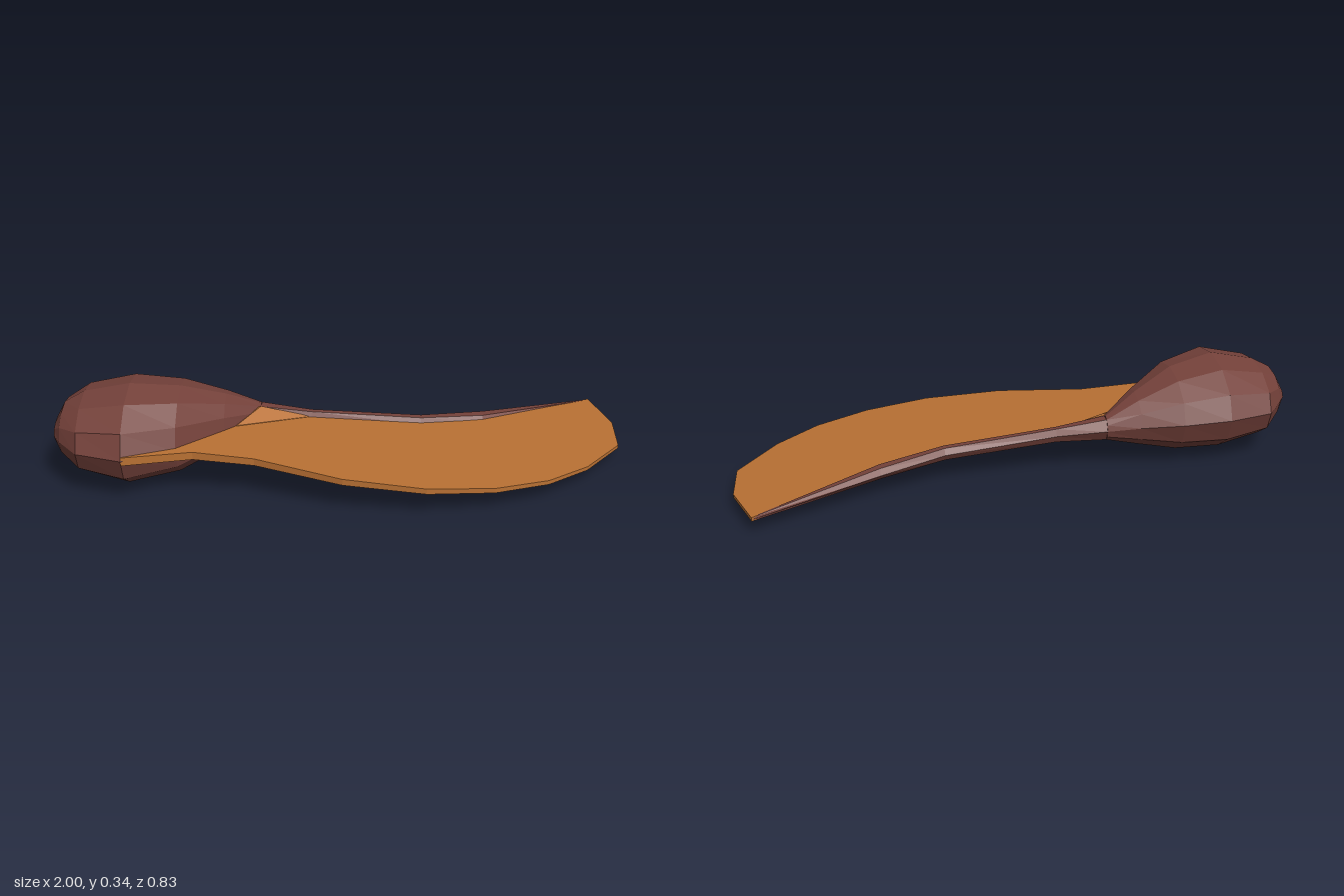
import * as THREE from 'three';
import { ConvexGeometry } from 'three/addons/geometries/ConvexGeometry.js';

const brown = new THREE.MeshStandardMaterial({ color: 0x74413a, flatShading: true });
const tan = new THREE.MeshStandardMaterial({ color: 0xb87033, flatShading: true });

// Loft of elliptical rings along x; each section is [x, zBack, zFront, yBottom, yTop].
function loft(sections, sides) {
  const pos = [], index = [];
  for (const [x, z0, z1, y0, y1] of sections) {
    for (let i = 0; i < sides; i++) {
      const a = (i / sides) * Math.PI * 2;
      pos.push(x, (y0 + y1) / 2 + ((y1 - y0) / 2) * Math.sin(a), (z0 + z1) / 2 + ((z1 - z0) / 2) * Math.cos(a));
    }
  }
  for (let s = 0; s < sections.length - 1; s++) {
    for (let i = 0; i < sides; i++) {
      const a = s * sides + i, b = s * sides + ((i + 1) % sides);
      index.push(a, a + sides, b, b, a + sides, b + sides);
    }
  }
  // End caps as fans
  const last = (sections.length - 1) * sides;
  for (let i = 1; i < sides - 1; i++) {
    index.push(0, i, i + 1, last, last + i + 1, last + i);
  }
  const g = new THREE.BufferGeometry();
  g.setAttribute('position', new THREE.Float32BufferAttribute(pos, 3));
  g.setIndex(index);
  const flat = g.toNonIndexed();
  flat.computeVertexNormals();
  return flat;
}

// Thin blade: outline in x/z, thickness tapering and sloping down along x.
const wingTop = x => 0.185 - (x + 0.74) * 0.0747;
const wingBottom = x => 0.155 - (x + 0.74) * 0.0645;
function wingGeometry() {
  const outline = [
    [-0.74, 0.35], [-0.51, 0.27], [-0.3, 0.285], [0, 0.385], [0.28, 0.41], [0.51, 0.37],
    [0.7, 0.285], [0.85, 0.16], [0.99, -0.03], [1, -0.22], [0.94, -0.42],
    [0.5, -0.18], [0.2, -0.1], [-0.12, -0.095], [-0.4, -0.08], [-0.62, 0.1],
  ];
  const shape = new THREE.Shape(outline.map(([x, z]) => new THREE.Vector2(x, -z)));
  const g = new THREE.ExtrudeGeometry(shape, { depth: 1, bevelEnabled: false });
  g.rotateX(-Math.PI / 2);
  const p = g.attributes.position;
  for (let i = 0; i < p.count; i++) {
    const x = p.getX(i);
    p.setY(i, THREE.MathUtils.lerp(wingBottom(x), wingTop(x), p.getY(i)));
  }
  g.computeVertexNormals();
  return g;
}

export function createModel() {
  const group = new THREE.Group();
  const add = (name, geometry, material) => {
    const mesh = new THREE.Mesh(geometry, material);
    mesh.name = name;
    group.add(mesh);
  };

  // Swollen seed pod narrowing into the neck
  add('seedPod', loft([
    [-1, 0, 0.17, 0.14, 0.215],
    [-0.97, -0.05, 0.225, 0.09, 0.27],
    [-0.9, -0.145, 0.305, 0.04, 0.308],
    [-0.74, -0.183, 0.352, 0.003, 0.34],
    [-0.57, -0.178, 0.255, 0.015, 0.312],
    [-0.42, -0.152, 0.09, 0.06, 0.25],
    [-0.3, -0.132, -0.05, 0.1, 0.187],
  ], 12), brown);

  // Thickened rib along the wing's back edge
  add('wingRib', loft([
    [-0.3, -0.132, -0.05, 0.1, 0.187],
    [-0.12, -0.115, -0.072, 0.104, 0.16],
    [0.28, -0.142, -0.09, 0.078, 0.128],
    [0.51, -0.228, -0.155, 0.062, 0.106],
    [0.94, -0.42, -0.412, 0.044, 0.06],
  ], 6), brown);

  add('wing', wingGeometry(), tan);

  // Raised fillet where the wing meets the neck, above and below
  add('wingRoot', new ConvexGeometry([
    [-0.3, 0.187, -0.062], [-0.3, 0.1, -0.062], [-0.12, 0.14, -0.078],
    [-0.38, 0.16, 0.045], [-0.38, 0.128, 0.045], [-0.42, 0.15, -0.06],
  ].map(v => new THREE.Vector3(...v))), tan);

  return group;
}
